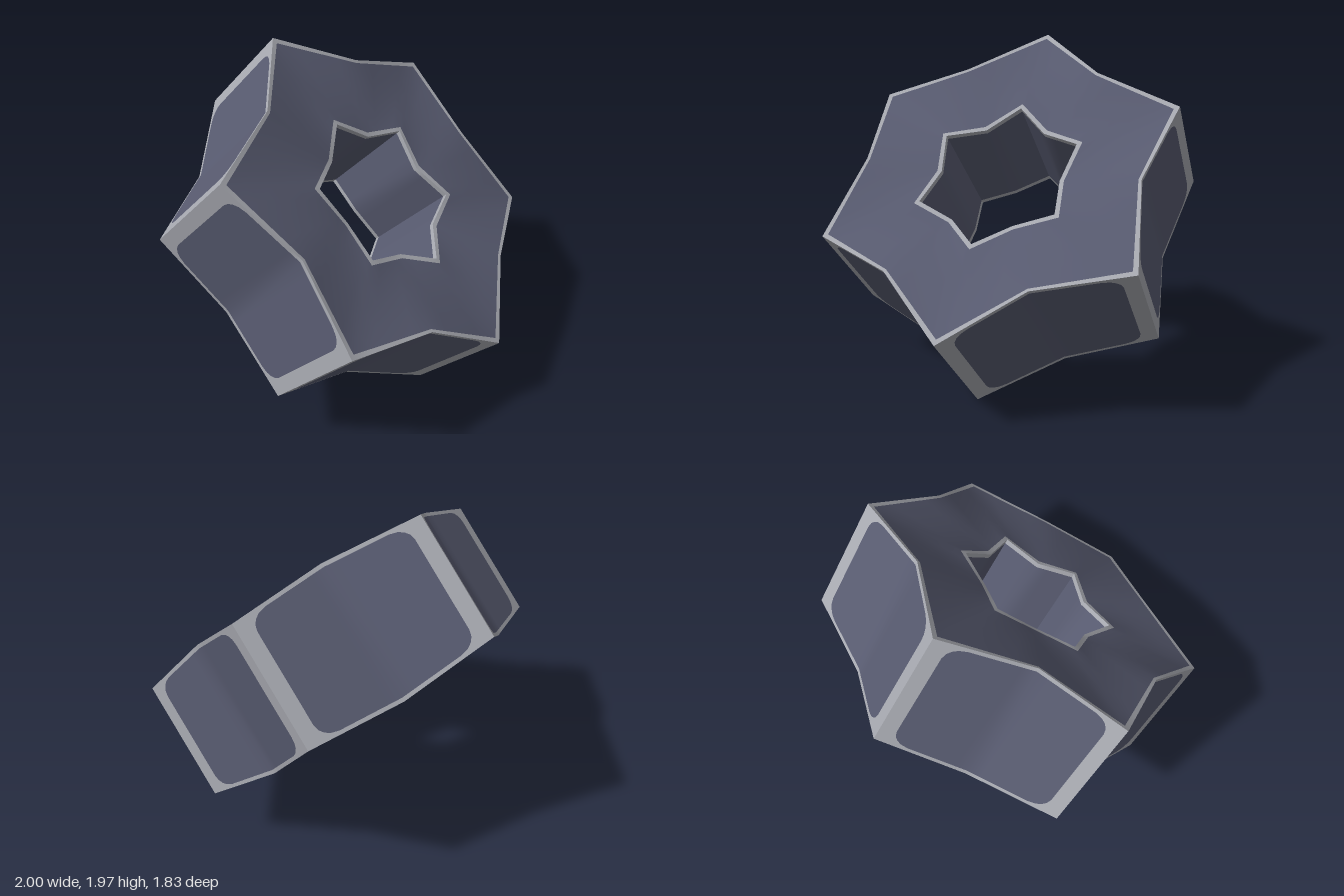
import * as THREE from 'three';

const frameMat = new THREE.MeshStandardMaterial({ color: 0xa6a8af });
frameMat.name = 'light grey edging';
const panelMat = new THREE.MeshStandardMaterial({ color: 0x575a6f });
panelMat.name = 'slate panel';

// Star outlines: radius and half thickness at the points and at the valleys
const OUTER = { tipR: 1.057, tipY: 0.347, valleyR: 0.825, valleyY: 0.393 };
const INNER = { tipR: 0.465, tipY: 0.347, valleyR: 0.36, valleyY: 0.318 };

// Corner k of a star (even = point, odd = valley)
function corner(star, k) {
  const a = k * Math.PI / 6;
  const r = k % 2 ? star.valleyR : star.tipR;
  return new THREE.Vector3(r * Math.cos(a), k % 2 ? star.valleyY : star.tipY, r * Math.sin(a));
}

// Point on the upper rim at t, where whole numbers are corners
function rim(star, t) {
  const k = Math.floor(t + 1e-6);
  return corner(star, k).lerp(corner(star, k + 1), Math.max(0, t - k));
}

// Smooth grid of columns and rows, split into edging and panel groups
function patch(name, cols, rows, point, isPanel, flip, closed = false) {
  const pos = [], lists = [[], []];
  const n = closed ? cols - 1 : cols;
  for (let i = 0; i < n; i++) {
    for (let j = 0; j < rows; j++) pos.push(...point(i, j).toArray());
  }
  for (let i = 0; i < cols - 1; i++) {
    for (let j = 0; j < rows - 1; j++) {
      const i2 = (i + 1) % n;
      const a = i * rows + j, b = i2 * rows + j, c = b + 1, d = a + 1;
      lists[isPanel(i, j) ? 1 : 0].push(...(flip ? [a, c, b, a, d, c] : [a, b, c, a, c, d]));
    }
  }
  const geo = new THREE.BufferGeometry();
  geo.setAttribute('position', new THREE.Float32BufferAttribute(pos, 3));
  geo.setIndex([...lists[0], ...lists[1]]);
  geo.addGroup(0, lists[0].length, 0);
  geo.addGroup(lists[0].length, lists[1].length, 1);
  geo.computeVertexNormals();
  const mesh = new THREE.Mesh(geo, [frameMat, panelMat]);
  mesh.name = name;
  return mesh;
}

// Star-shaped face with a thin edging along both outlines
function face(name, side) {
  const steps = 4;
  return patch(name, 12 * steps + 1, 7, (i, j) => {
    const t = i / steps;
    const tip = Math.abs((t % 2) - 1); // 1 at a point, 0 at a valley
    const w = [0, 0.038 + 0.022 * tip, 0.25, 0.5, 0.75, 0.945, 1][j];
    const p = rim(OUTER, t).lerp(rim(INNER, t), w);
    p.y *= side;
    return p;
  }, (i, j) => j > 0 && j < 5, side > 0, true);
}

// Wall from one point to the next, with a round-cornered panel
function wall(name, star, k, border, height, round, flip) {
  const half = border ? [0, border] : [0];
  for (const s of [0.008, 0.025, 0.05, 0.09, 0.2, 0.35]) half.push(border + s);
  const us = [...half, 0.5, ...half.map(u => 1 - u).reverse()];
  return patch(name, us.length, 4, (i, j) => {
    const u = us[i];
    const s = Math.min(1, Math.max(0, (Math.min(u, 1 - u) - border) / 0.09));
    const h = height - round * (1 - Math.sqrt(1 - (1 - s) ** 2));
    const p = rim(star, 2 * k + 2 * u);
    p.y *= [-1, -h, h, 1][j];
    return p;
  }, (i, j) => j === 1 && (!border || (i > 0 && i < us.length - 2)), flip);
}

export function createModel() {
  const ring = new THREE.Group();
  ring.name = 'starRing';
  ring.add(face('upperFace', 1), face('lowerFace', -1));
  for (let k = 0; k < 6; k++) {
    ring.add(wall('outerWall', OUTER, k, 0.08, 0.945, 0.22, true));
    ring.add(wall('innerWall', INNER, k, 0, 0.92, 0, false));
  }
  // Tilt the ring so it rests on one point
  ring.rotation.z = THREE.MathUtils.degToRad(-44.05);
  ring.position.y = 0.985;

  const model = new THREE.Group();
  model.name = 'tiltedStarRing';
  model.add(ring);
  return model;
}
